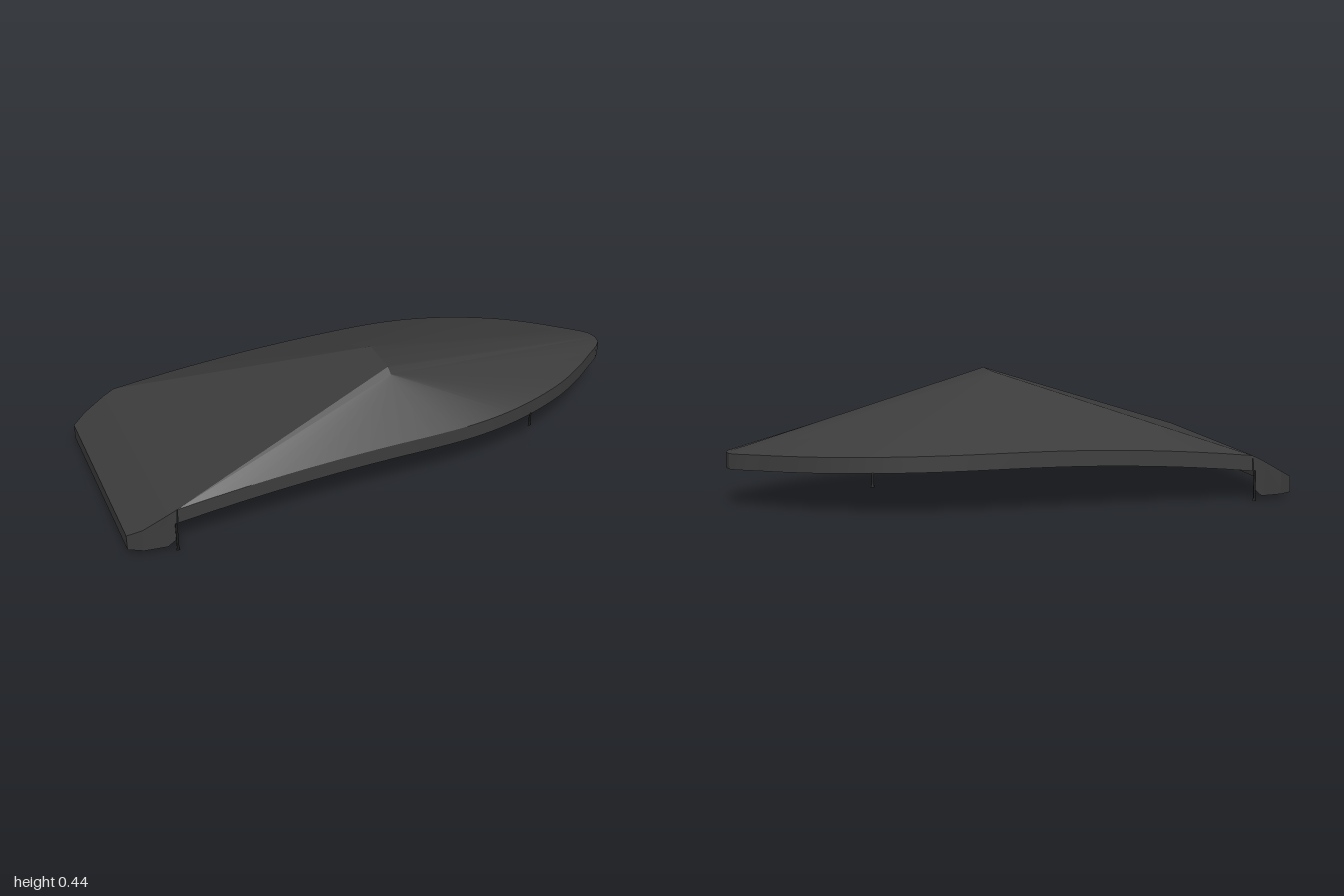
import * as THREE from 'three';
import { toCreasedNormals } from 'three/addons/utils/BufferGeometryUtils.js';

const V = (x, y, z) => new THREE.Vector3(x, y, z);

// Surface from triangles, each turned to face away from a point under the model
function surface(tris, crease) {
  const centre = V(0, -1, 0), pos = [];
  for (const [a, b, c] of tris) {
    const n = b.clone().sub(a).cross(c.clone().sub(a));
    if (n.lengthSq() < 1e-14) continue;
    const out = a.clone().add(b).add(c).divideScalar(3).sub(centre);
    const order = n.dot(out) > 0 ? [a, b, c] : [a, c, b];
    for (const p of order) pos.push(p.x, p.y, p.z);
  }
  const g = new THREE.BufferGeometry();
  g.setAttribute('position', new THREE.Float32BufferAttribute(pos, 3));
  return toCreasedNormals(g, crease);
}

// Height of the seam between the cover and its skirt
const seamY = x => 0.213 - (x < 0 ? 0.07 : 0.023) * x * x;

export function createModel() {
  const model = new THREE.Group();
  const fabric = new THREE.MeshStandardMaterial({ color: 0x3c3c3c, side: THREE.DoubleSide });
  fabric.name = 'charcoal fabric';
  const webbing = new THREE.MeshStandardMaterial({ color: 0x1c1c1c });
  webbing.name = 'black webbing';
  const add = (name, geometry, material) => {
    const m = new THREE.Mesh(geometry, material);
    m.name = name;
    model.add(m);
    return m;
  };

  // Half outline seen from above, from the stern corner to the bow tip
  const half = [];
  for (let i = 0; i <= 8; i++) half.push([-0.83 + i * 0.93 / 8, 0.405]);
  const bow = new THREE.SplineCurve([
    [0.1, 0.405], [0.25, 0.398], [0.4, 0.374], [0.55, 0.328], [0.7, 0.26],
    [0.82, 0.182], [0.9, 0.118], [0.96, 0.07], [0.99, 0.04], [1, 0],
  ].map(p => new THREE.Vector2(...p)));
  bow.getSpacedPoints(28).slice(1).forEach(p => half.push([Math.min(p.x, 1), p.y]));

  // Ridge points where the support pole lifts the cover
  const ridgeBack = V(0, 0.435, 0.1), ridgeFront = V(0, 0.435, 0.25), ridgeEdge = V(0, 0.42, 0.277);
  const top = [], skirt = [], flaps = [];
  const quad = (list, a, b, c, d) => list.push([a, b, c], [a, c, d]);
  const sternTop = {};

  for (const s of [-1, 1]) {
    const edge = half.map(([x, z]) => V(x, seamY(x), s * z));
    const apex = s > 0 ? ridgeEdge : ridgeBack;
    for (let i = 0; i < edge.length - 1; i++) {
      const a = edge[i], b = edge[i + 1];
      top.push([a, b, apex]);
      const drop = p => V(p.x, p.y - 0.056, p.z);
      quad(skirt, a, b, drop(b), drop(a));
    }
    // Deep flap wrapped round the stern corner: seam point and lower edge
    const wrap = [
      [V(-0.83, 0.165, s * 0.405), V(-0.842, 0.04, s * 0.405)],
      [V(-0.87, 0.145, s * 0.402), V(-0.87, 0.015, s * 0.398)],
      [V(-0.95, 0.1, s * 0.388), V(-0.95, 0.015, s * 0.388)],
      [V(-1, 0.073, s * 0.36), V(-1, 0.015, s * 0.36)],
    ];
    wrap[0][0].copy(edge[0]);
    for (let i = 0; i < 3; i++) quad(flaps, wrap[i][0], wrap[i + 1][0], wrap[i + 1][1], wrap[i][1]);
    sternTop[s] = wrap;
  }

  // Stern panel, sloping tail and the narrow faces along the ridge
  const L = sternTop[1], R = sternTop[-1], tip = V(1, seamY(1), 0);
  quad(top, L[0][0], R[0][0], ridgeBack, ridgeFront);
  top.push([L[0][0], ridgeFront, ridgeEdge], [tip, ridgeFront, ridgeEdge], [tip, ridgeBack, ridgeFront]);
  for (let i = 0; i < 3; i++) quad(top, L[i][0], R[i][0], R[i + 1][0], L[i + 1][0]);
  quad(flaps, L[3][0], R[3][0], R[3][1], L[3][1]);

  add('cover', surface(top, 0.3), fabric);
  add('skirt', surface(skirt, 0.5), fabric);
  add('sternFlap', surface(flaps, 0.3), fabric);

  // Tie-down straps with small hooks
  for (const s of [-1, 1]) {
    for (const [x, z, y0, y1] of [[-0.838, 0.408, 0, 0.11], [0.535, 0.334, 0.103, 0.155]]) {
      const strap = add('strap', new THREE.BoxGeometry(0.008, y1 - y0, 0.003), webbing);
      strap.position.set(x, (y0 + y1) / 2, s * z);
      const hook = add('hook', new THREE.CylinderGeometry(0.004, 0.007, 0.014, 8), webbing);
      hook.scale.z = 0.4;
      hook.position.set(x, y0 + 0.007, s * z);
    }
  }
  return model;
}
